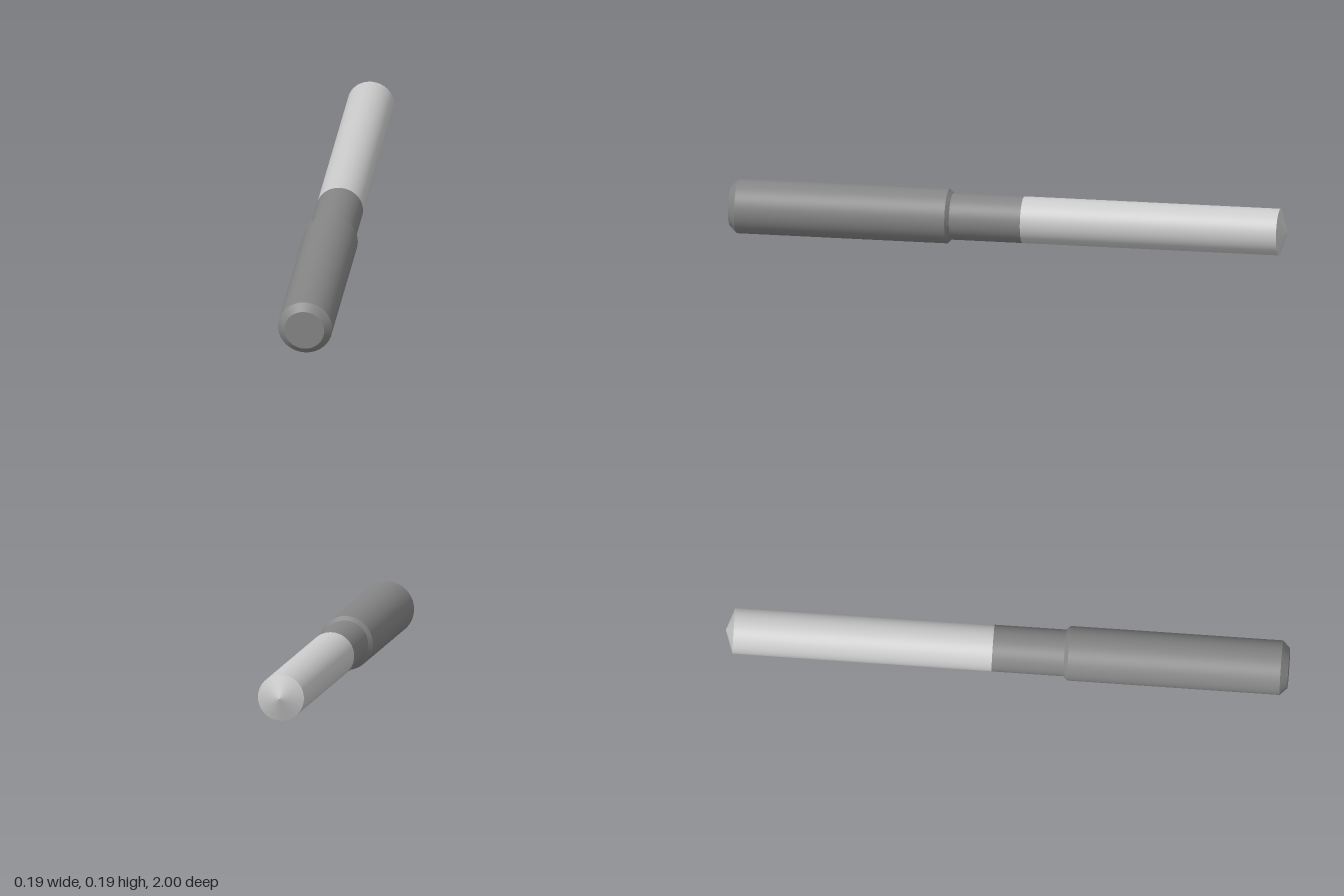
import * as THREE from 'three';
import { mergeGeometries } from 'three/addons/utils/BufferGeometryUtils.js';

const SEGMENTS = 96;
const CENTRE_Y = 0.097;

// Round part along z from [radius, z] points, back to front; every ring keeps a sharp edge.
function turnedPart(name, profile, material) {
  const bands = [];
  for (let i = 0; i < profile.length - 1; i++) {
    const pair = [profile[i], profile[i + 1]].map(([r, z]) => new THREE.Vector2(r, z));
    bands.push(new THREE.LatheGeometry(pair, SEGMENTS));
  }
  const geometry = mergeGeometries(bands);
  geometry.rotateX(Math.PI / 2);
  geometry.translate(0, CENTRE_Y, 0);
  const mesh = new THREE.Mesh(geometry, material);
  mesh.name = name;
  return mesh;
}

export function createModel() {
  const model = new THREE.Group();
  model.name = 'drillBlank';

  const light = new THREE.MeshStandardMaterial({ color: 0xcccccc });
  const dark = new THREE.MeshStandardMaterial({ color: 0x858585 });

  // Cutting section with conical point
  model.add(turnedPart('cuttingSection', [[0, -1], [0.083, -0.97], [0.083, -0.05]], light));

  // Neck between cutting section and shank
  model.add(turnedPart('neck', [[0.083, -0.05], [0.083, 0.205]], dark));

  // Shank with chamfered shoulder and end
  model.add(turnedPart('shank', [
    [0.083, 0.205], [0.097, 0.219], [0.097, 0.974], [0.071, 1], [0, 1],
  ], dark));

  return model;
}
